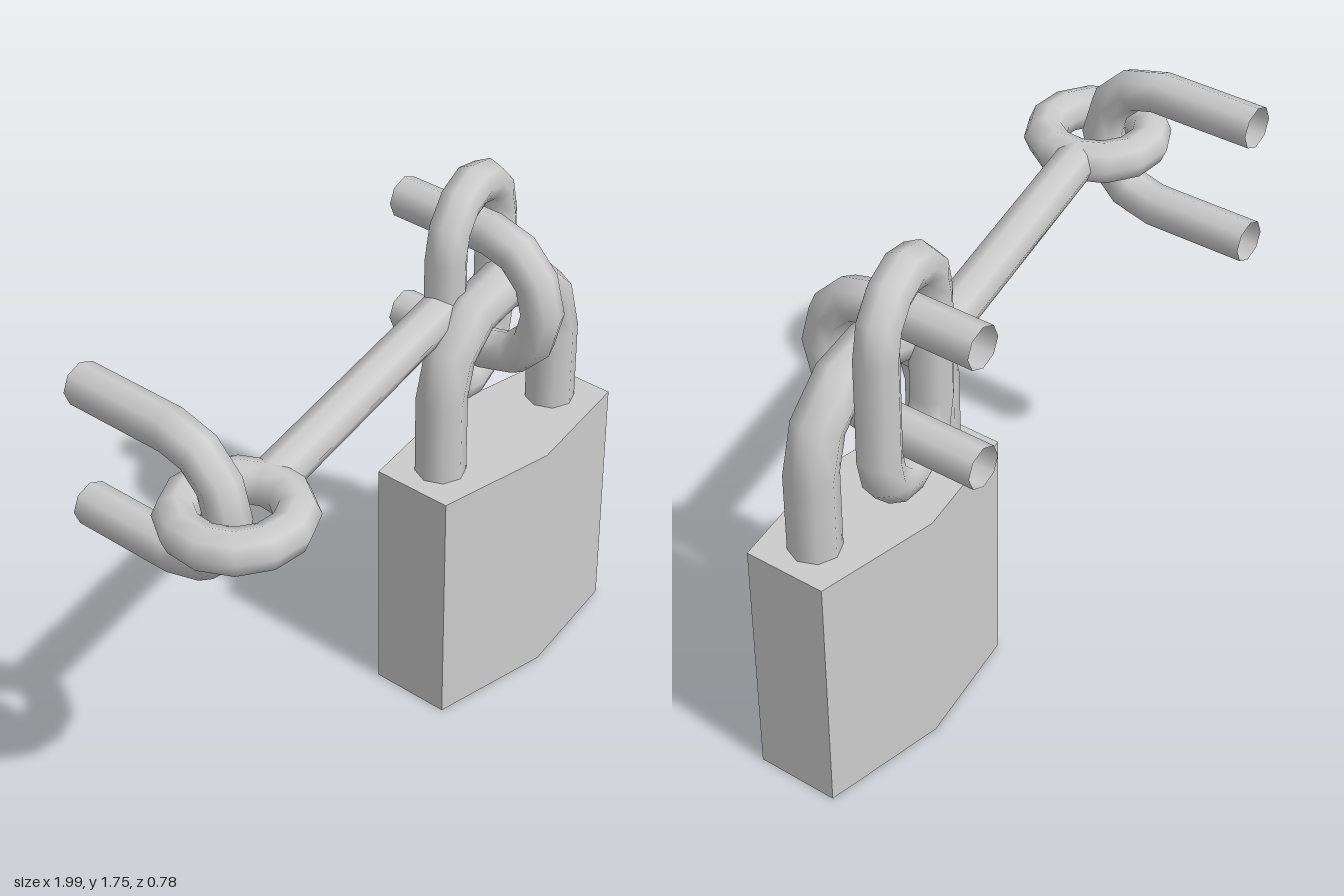
import * as THREE from 'three';
import { toCreasedNormals } from 'three/addons/utils/BufferGeometryUtils.js';

const metal = new THREE.MeshStandardMaterial({ color: 0xcccccc, side: THREE.DoubleSide });
const SIDES = 8; // sides of every rod
const ROD = 0.068; // radius of the thin rods
const RING = 0.167; // centre-line radius of the eye and link

// Half-circle of path stations around (0, cy); each is [x, y, outward angle]
function halfArc(R, cy, from, steps = 6) {
  return Array.from({ length: steps + 1 }, (_, i) => {
    const a = from + (Math.PI * i) / steps;
    return [R * Math.cos(a), cy + R * Math.sin(a), a];
  });
}

// Round rod swept along flat stations in the XY plane
function sweep(stations, r) {
  const pos = [], nor = [], idx = [];
  stations.forEach(([x, y, a], i) => {
    for (let j = 0; j <= SIDES; j++) {
      const t = (2 * Math.PI * j) / SIDES;
      const n = [Math.cos(t) * Math.cos(a), Math.cos(t) * Math.sin(a), Math.sin(t)];
      nor.push(...n);
      pos.push(x + r * n[0], y + r * n[1], r * n[2]);
      if (i && j) {
        const q = i * (SIDES + 1) + j, p = q - SIDES - 1;
        idx.push(p - 1, q - 1, q, p - 1, q, p);
      }
    }
  });
  const g = new THREE.BufferGeometry();
  g.setAttribute('position', new THREE.Float32BufferAttribute(pos, 3));
  g.setAttribute('normal', new THREE.Float32BufferAttribute(nor, 3));
  g.setIndex(idx);
  return g;
}

// U-shaped rod: arch centred on the origin with two straight legs going down
const uRod = (R, leg, r) =>
  sweep([[R, -leg, 0], ...halfArc(R, 0, 0), [-R, -leg, Math.PI]], r);

function add(parent, name, geometry, x = 0, y = 0, z = 0) {
  const mesh = new THREE.Mesh(geometry, metal);
  mesh.name = name;
  mesh.position.set(x, y, z);
  parent.add(mesh);
  return mesh;
}

export function createModel() {
  const model = new THREE.Group();
  model.name = 'padlockAndHasp';
  const Y = 1.335; // height of the hasp

  // Two wall staples, bent in the vertical plane with legs to the back
  const staple = uRod(0.207, 0.35, ROD).rotateZ(Math.PI / 2).rotateY(Math.PI / 2);
  add(model, 'rightStaple', staple, -0.8, Y, -0.05);
  add(model, 'leftStaple', staple, 0.585, Y, -0.05);

  // Swinging hasp: flat eye, bar and upright oblong link
  const hasp = new THREE.Group();
  hasp.name = 'hasp';
  hasp.position.set(-0.765, Y, 0.155);
  hasp.rotation.y = 0.208;
  model.add(hasp);
  const reach = 1.383;
  add(hasp, 'haspEye', new THREE.TorusGeometry(RING, ROD, SIDES, 12).rotateX(Math.PI / 2));
  const barLength = reach - 2 * RING;
  add(hasp, 'haspBar',
    new THREE.CylinderGeometry(ROD, ROD, barLength, SIDES, 1, true).rotateZ(Math.PI / 2),
    reach / 2);
  const half = 0.177;
  const loop = [...halfArc(RING, half, 0), ...halfArc(RING, -half, Math.PI)];
  loop.push([RING, half, 2 * Math.PI]);
  add(hasp, 'haspLink', sweep(loop, ROD), reach);

  // Padlock: shackle and a six-sided body with a soft ridge front and back
  const lock = new THREE.Group();
  lock.name = 'padlock';
  lock.position.set(0.585, 0, -0.007);
  model.add(lock);
  add(lock, 'shackle', uRod(0.277, 0.3, 0.081), 0, 1.1, 0);
  const w = 0.415, side = 0.137, ridge = 0.207;
  const plan = new THREE.Shape(
    [[-w, -side], [0, -ridge], [w, -side], [w, side], [0, ridge], [-w, side]]
      .map(([x, y]) => new THREE.Vector2(x, y)));
  const body = new THREE.ExtrudeGeometry(plan, { depth: 0.83, bevelEnabled: false })
    .rotateX(-Math.PI / 2);
  add(lock, 'lockBody', toCreasedNormals(body, 0.6));

  return model;
}
